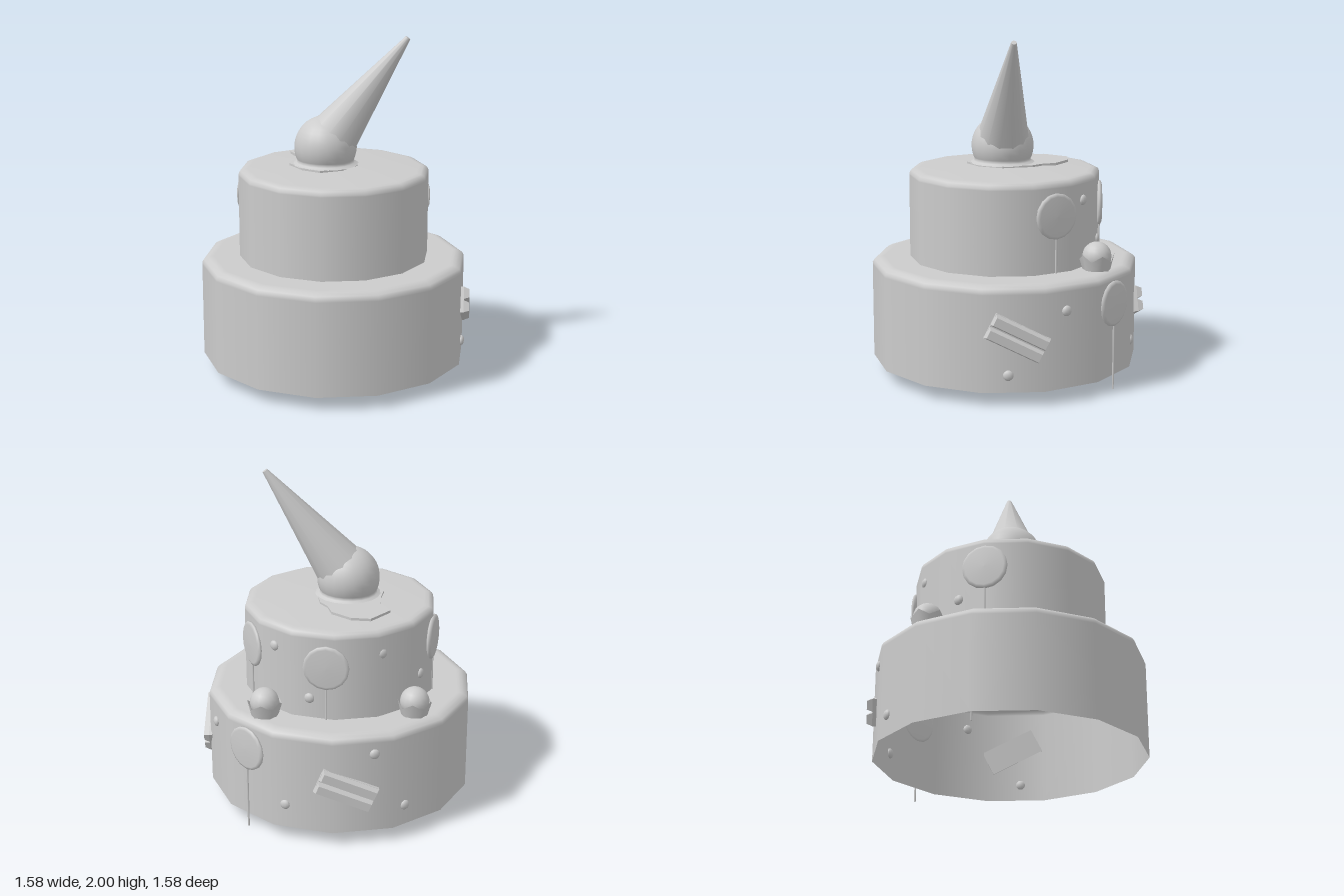
import * as THREE from 'three';

const mat = new THREE.MeshStandardMaterial({ color: 0xcccccc, side: THREE.DoubleSide });
const rad = THREE.MathUtils.degToRad;
const lathe = (pts, sides, start = 0) =>
  new THREE.LatheGeometry(pts.map(p => new THREE.Vector2(...p)), sides, rad(start));

function add(parent, name, geometry, x = 0, y = 0, z = 0) {
  const mesh = new THREE.Mesh(geometry, mat);
  mesh.name = name;
  mesh.position.set(x, y, z);
  parent.add(mesh);
  return mesh;
}

// Group on a tier wall: azimuth from the front, local +z pointing outwards
function onWall(parent, name, azimuth, radius, y, roll = 0) {
  const g = new THREE.Group();
  const a = rad(azimuth);
  g.name = name;
  g.position.set(radius * Math.sin(a), y, radius * Math.cos(a));
  g.rotation.set(0, a, rad(roll));
  parent.add(g);
  return g;
}

// Flat round sweet with a bevelled rim on a thin stick
function lollipop(parent, azimuth, radius, y) {
  const g = onWall(parent, 'lollipop', azimuth, radius, y);
  const disc = lathe([[0, -0.016], [0.115, -0.014], [0.132, -0.006], [0.132, 0.006], [0.115, 0.014], [0, 0.016]], 16);
  add(g, 'lollipopSweet', disc.rotateX(Math.PI / 2));
  add(g, 'lollipopStick', new THREE.CylinderGeometry(0.006, 0.006, 0.46, 6), 0, -0.28, 0);
}

// Two bevelled fingers side by side on a thin base
function waferBar(parent, azimuth, y, roll) {
  const g = onWall(parent, 'waferBar', azimuth, 0.775, y, roll);
  add(g, 'waferBase', new THREE.BoxGeometry(0.34, 0.155, 0.02));
  for (const side of [-1, 1]) {
    const finger = new THREE.BoxGeometry(0.34, 0.075, 0.035).toNonIndexed();
    const p = finger.attributes.position;
    for (let i = 0; i < p.count; i++) {
      if (p.getZ(i) > 0) p.setXY(i, p.getX(i) * 0.95, p.getY(i) * 0.65);
    }
    finger.computeVertexNormals();
    add(g, 'waferFinger', finger, 0, side * 0.04, 0.025);
  }
}

// Ball sitting in a flared cup with a wavy rim
function smallScoop(parent, x, z) {
  const g = new THREE.Group();
  g.name = 'smallScoop';
  g.position.set(x, 0, z);
  parent.add(g);
  add(g, 'scoopBall', new THREE.SphereGeometry(0.085, 16, 12), 0, 0.765, 0);
  const cup = new THREE.CylinderGeometry(0.1, 0.072, 0.1, 10, 1, true);
  const p = cup.attributes.position;
  for (let i = 0; i < p.count; i++) {
    if (p.getY(i) > 0) p.setY(i, 0.055 + 0.018 * Math.cos(5 * Math.atan2(p.getX(i), p.getZ(i))));
  }
  add(g, 'scoopCup', cup, 0, 0.71, 0);
}

export function createModel() {
  const cake = new THREE.Group();
  cake.name = 'cake';

  // Two 14-sided tiers with rounded top edges, the lower one open below
  add(cake, 'lowerTier', lathe([
    [0.79, 0.08], [0.79, 0.64], [0.79, 0.655], [0.78, 0.672], [0.755, 0.686], [0.735, 0.69], [0.72, 0.69], [0, 0.69],
  ], 14, 16.5));
  add(cake, 'upperTier', lathe([
    [0.565, 0.69], [0.565, 1.18], [0.565, 1.19], [0.556, 1.21], [0.535, 1.219], [0.51, 1.222], [0.25, 1.235], [0, 1.24],
  ], 14, 16.5));

  // Melted puddle on the upper tier, outlined as x, z
  const outline = [
    [-0.41, -0.16], [-0.40, 0.01], [-0.29, 0.045], [-0.22, 0.12], [-0.16, 0.21], [-0.01, 0.235],
    [0.11, 0.2], [0.155, 0.07], [0.12, -0.08], [-0.03, -0.19], [-0.1, -0.2], [-0.18, -0.245], [-0.32, -0.23],
  ];
  const puddle = new THREE.ExtrudeGeometry(
    new THREE.Shape(outline.map(([x, z]) => new THREE.Vector2(x, -z))), { depth: 0.015, bevelEnabled: false });
  add(cake, 'meltedPuddle', puddle.rotateX(-Math.PI / 2), 0, 1.232, 0);

  // Large scoop with a melted foot
  const centre = new THREE.Vector3(-0.03, 1.345, 0.04);
  const profile = [[0.195, -0.1], [0.172, -0.09], [0.166, -0.078]];
  for (let i = 0; i <= 12; i++) {
    const t = rad(-22 + i * 112 / 12);
    profile.push([Math.max(0, 0.185 * Math.cos(t)), 0.185 * Math.sin(t)]);
  }
  add(cake, 'largeScoop', lathe(profile, 20), centre.x, centre.y, centre.z);

  // Upturned cone, leaning back towards the left
  const axis = new THREE.Vector3(0.3, 1.993, -0.305).sub(centre);
  const length = axis.length() - 0.07;
  axis.normalize();
  const cone = add(cake, 'cone', new THREE.CylinderGeometry(0.016, 0.155, length, 12));
  cone.position.copy(centre).addScaledVector(axis, 0.07 + length / 2);
  cone.quaternion.setFromUnitVectors(new THREE.Vector3(0, 1, 0), axis);

  smallScoop(cake, -0.635, -0.025);
  smallScoop(cake, -0.04, -0.645);

  lollipop(cake, 300, 0.565, 1.03);
  lollipop(cake, 217.4, 0.562, 1.01);
  lollipop(cake, 160, 0.56, 1.02);
  lollipop(cake, 182, 0.778, 0.51);

  waferBar(cake, 133.7, 0.395, -27);
  waferBar(cake, 228, 0.355, -23);

  // Flattened sugar drops: azimuth, height
  const drops = [
    [0.552, [[183, 1.085], [251, 1.075], [207, 0.81], [283, 0.86]]],
    [0.775, [[155, 0.53], [240, 0.57], [201.5, 0.225], [254, 0.206], [130, 0.18]]],
  ];
  for (const [radius, list] of drops) {
    for (const [azimuth, y] of list) {
      const g = onWall(cake, 'sugarDrop', azimuth, radius, y);
      add(g, 'drop', new THREE.SphereGeometry(0.03, 10, 8)).scale.z = 0.6;
    }
  }
  return cake;
}
